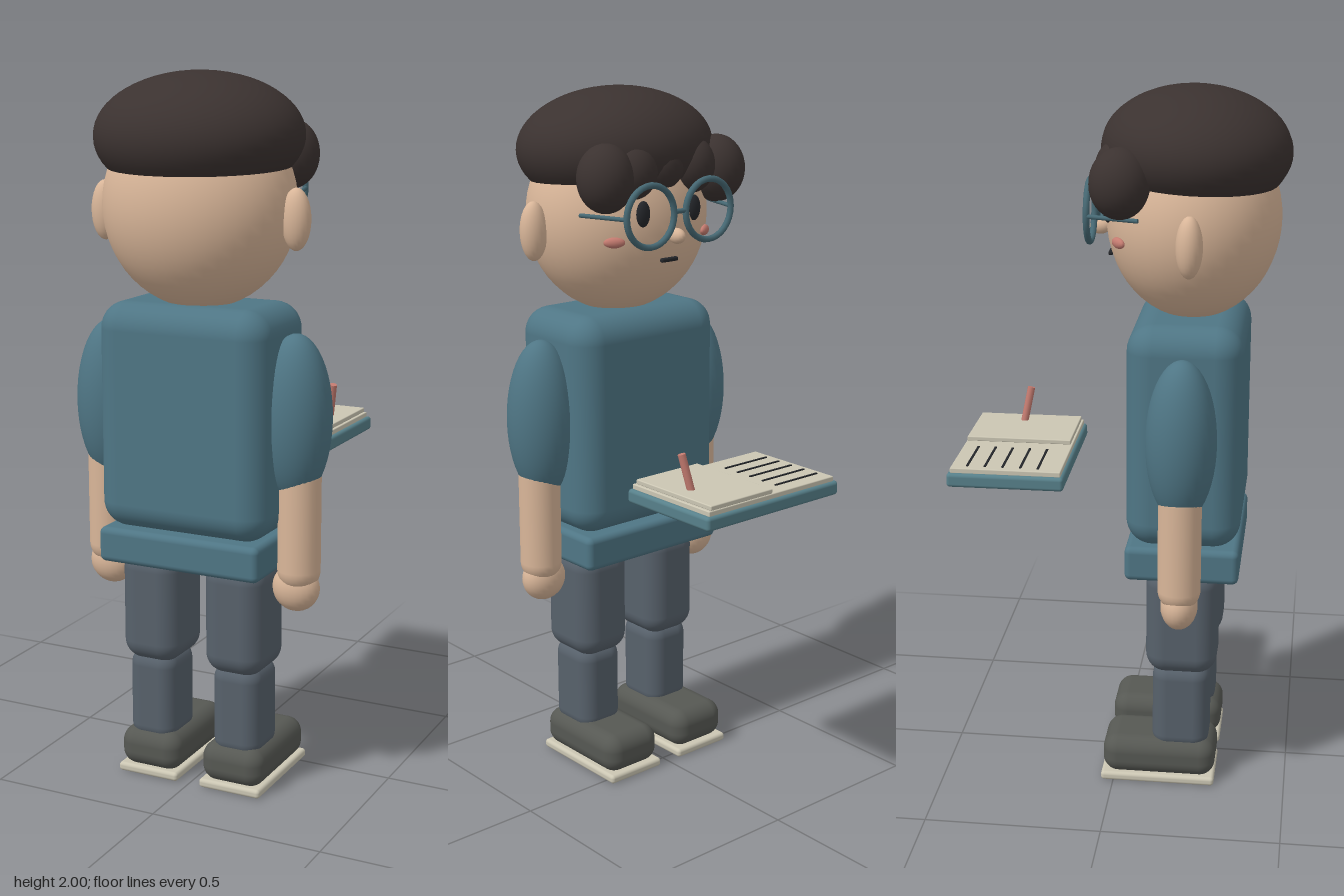
import * as THREE from 'three';
import { RoundedBoxGeometry } from 'three/addons/geometries/RoundedBoxGeometry.js';

const mat = (color, side = THREE.FrontSide) => new THREE.MeshStandardMaterial({ color, side });
const SKIN = mat(0xd9b699), HAIR = mat(0x3b3230, THREE.DoubleSide), SHIRT = mat(0x4f7685);
const TROUSERS = mat(0x57616b), SHOE = mat(0x565853), PAPER = mat(0xcbc6b3);
const COVER = mat(0x57808a), FRAME = mat(0x466873), DARK = mat(0x24262a), PINK = mat(0xc47b70);

export function createModel() {
  const model = new THREE.Group();

  const add = (parent, name, geometry, material, x, y, z) => {
    const mesh = new THREE.Mesh(geometry, material);
    mesh.name = name;
    mesh.position.set(x, y, z);
    parent.add(mesh);
    return mesh;
  };
  const group = (name) => {
    const g = new THREE.Group();
    g.name = name;
    model.add(g);
    return g;
  };
  const ball = (rx, ry, rz, w = 32, h = 24) => new THREE.SphereGeometry(1, w, h).scale(rx, ry, rz);
  const rbox = (w, h, d, r) => new RoundedBoxGeometry(w, h, d, 5, r);
  // thin round bar between two points
  const rod = (parent, name, a, b, r, material) => {
    const A = new THREE.Vector3(...a), B = new THREE.Vector3(...b);
    const mid = A.clone().add(B).multiplyScalar(0.5);
    const m = add(parent, name, new THREE.CylinderGeometry(r, r, A.distanceTo(B), 12), material, mid.x, mid.y, mid.z);
    m.quaternion.setFromUnitVectors(new THREE.Vector3(0, 1, 0), B.sub(A).normalize());
    return m;
  };

  // Torso
  const body = group('body');
  add(body, 'shirt', rbox(0.51, 0.635, 0.32, 0.075), SHIRT, 0, 1.067, 0.195);
  add(body, 'shirtHem', rbox(0.49, 0.1, 0.32, 0.018), SHIRT, 0, 0.702, 0.195);

  // Head; the face looks toward -z
  const head = group('head');
  add(head, 'skull', ball(0.27, 0.28, 0.24, 40, 28), SKIN, 0, 1.645, 0.2);
  add(head, 'nose', ball(0.02, 0.022, 0.03, 16, 12), SKIN, 0, 1.61, -0.06);
  add(head, 'mouth', rbox(0.06, 0.012, 0.014, 0.005), DARK, 0, 1.54, -0.028);

  // Hair cap, an ellipsoid cut off below, and a fringe of curls
  const cap = new THREE.SphereGeometry(1, 32, 20, 0, Math.PI * 2, 0, Math.PI * 0.66).scale(0.29, 0.17, 0.26);
  add(head, 'hairCap', cap, HAIR, 0, 1.83, 0.205).rotation.x = 0.05;
  const curls = [
    [-0.218, 1.77, 0.02, 0.082, 0.095], [-0.11, 1.79, 0.01, 0.07, 0.08], [0, 1.8, 0.015, 0.07, 0.075],
    [0.1, 1.79, 0.01, 0.07, 0.08], [0.185, 1.775, 0.02, 0.08, 0.095],
  ];
  for (const [x, y, z, r, ry] of curls) add(head, 'hairCurl', ball(r, ry, r, 24, 18), HAIR, x, y, z);

  const glasses = group('glasses');
  rod(glasses, 'bridge', [-0.025, 1.68, -0.073], [0.025, 1.68, -0.073], 0.007, FRAME);

  // Paired parts
  for (const s of [-1, 1]) {
    const side = s > 0 ? 'left' : 'right';

    add(head, side + 'Ear', ball(0.04, 0.083, 0.036, 20, 16), SKIN, 0.288 * s, 1.62, 0.21);
    add(head, side + 'Eye', ball(0.022, 0.036, 0.014, 16, 12), DARK, 0.092 * s, 1.675, -0.026);
    add(head, side + 'Cheek', ball(0.03, 0.015, 0.012, 16, 10), PINK, 0.165 * s, 1.6, 0.01).rotation.y = -0.6 * s;

    add(glasses, side + 'Rim', new THREE.TorusGeometry(0.084, 0.009, 10, 32), FRAME, 0.105 * s, 1.675, -0.073);
    rod(glasses, side + 'Temple', [0.19 * s, 1.675, -0.073], [0.235 * s, 1.675, 0.07], 0.006, FRAME);

    const arm = group(side + 'Arm');
    add(arm, 'sleeve', ball(0.1, 0.23, 0.097), SHIRT, 0.285 * s, 1.085, 0.195);
    add(arm, 'forearm', new THREE.CapsuleGeometry(0.06, 0.26, 8, 24), SKIN, 0.298 * s, 0.79, 0.195);
    add(arm, 'hand', ball(0.068, 0.067, 0.052, 24, 16), SKIN, 0.29 * s, 0.607, 0.195);

    const leg = group(side + 'Leg');
    add(leg, 'thigh', rbox(0.18, 0.33, 0.205, 0.058), TROUSERS, 0.13 * s, 0.51, 0.193);
    add(leg, 'shin', rbox(0.145, 0.27, 0.165, 0.045), TROUSERS, 0.133 * s, 0.235, 0.193);
    add(leg, 'shoe', rbox(0.19, 0.115, 0.328, 0.045), SHOE, 0.13 * s, 0.077, 0.132);
    add(leg, 'sole', rbox(0.19, 0.026, 0.332, 0.01), PAPER, 0.13 * s, 0.013, 0.13);
  }

  // Open notebook floating ahead of the figure
  const book = group('notebook');
  add(book, 'cover', rbox(0.49, 0.04, 0.33, 0.01), COVER, 0, 0.93, -0.3);
  add(book, 'pages', rbox(0.466, 0.016, 0.312, 0.003), PAPER, 0, 0.956, -0.3);
  add(book, 'raisedPage', rbox(0.224, 0.014, 0.304, 0.003), PAPER, 0.113, 0.97, -0.302);
  for (let i = 0; i < 5; i++) {
    add(book, 'writtenLine', new THREE.BoxGeometry(0.162, 0.004, 0.006), DARK, -0.132, 0.965, -0.41 + i * 0.05);
  }
  rod(book, 'pencil', [0.17, 0.97, -0.315], [0.188, 1.075, -0.295], 0.011, PINK);

  return model;
}
